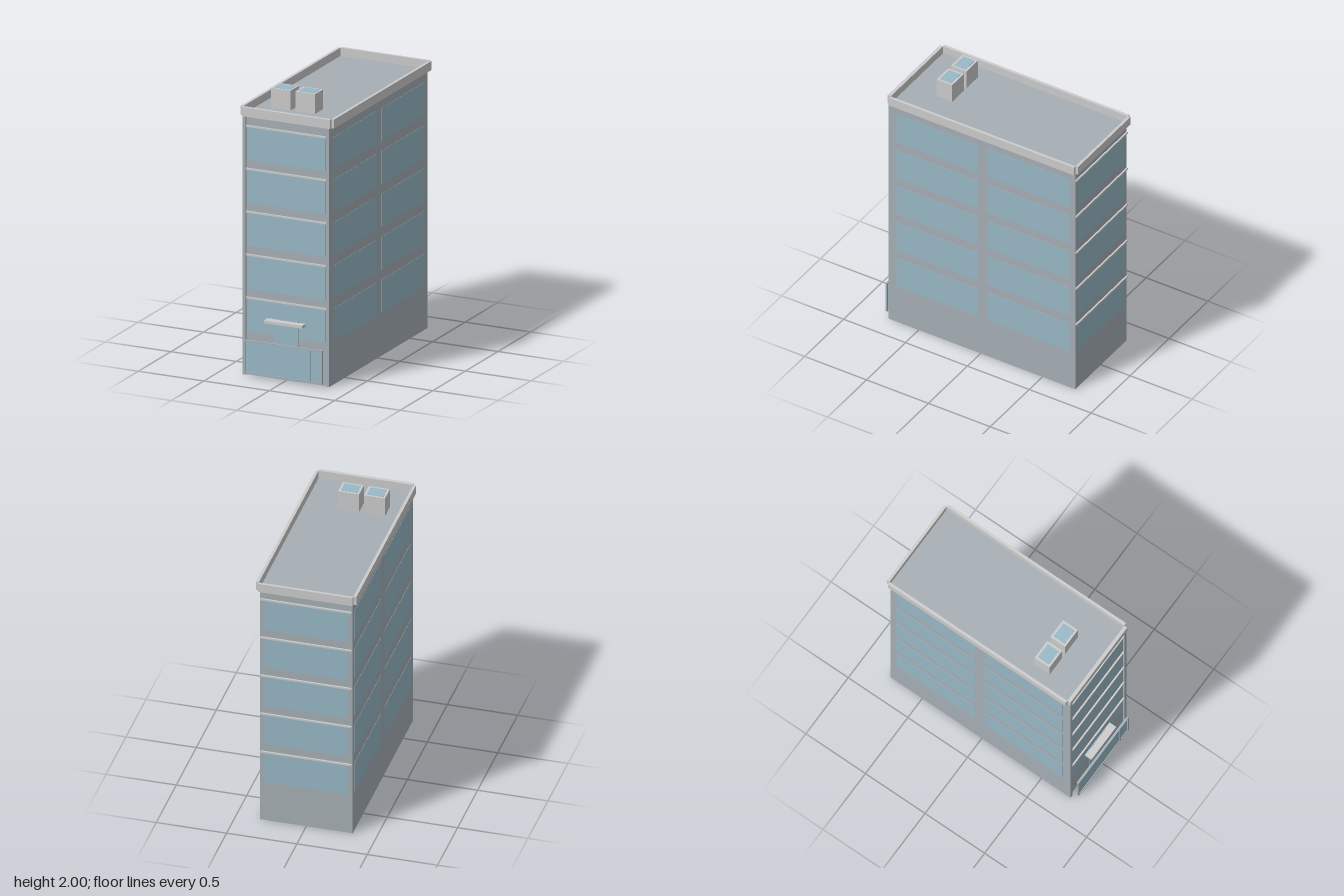
import * as THREE from 'three';

const trim = new THREE.MeshStandardMaterial({ color: 0xcccccc });
const wall = new THREE.MeshStandardMaterial({ color: 0xa6afb5 });
const glass = new THREE.MeshStandardMaterial({ color: 0x98b8c6 });

// Box given by its lower and upper limits on each axis
function box(parent, name, material, [x0, x1], [y0, y1], [z0, z1]) {
  const mesh = new THREE.Mesh(new THREE.BoxGeometry(x1 - x0, y1 - y0, z1 - z0), material);
  mesh.position.set((x0 + x1) / 2, (y0 + y1) / 2, (z0 + z1) / 2);
  mesh.name = name;
  parent.add(mesh);
}

function group(parent, name) {
  const g = new THREE.Group();
  g.name = name;
  parent.add(g);
  return g;
}

export function createModel() {
  const model = new THREE.Group();
  model.name = 'officeBuilding';

  // Main block and roof deck
  box(model, 'walls', wall, [-0.33, 0.33], [0, 1.85], [-0.765, 0.73]);
  box(model, 'roofDeck', wall, [-0.338, 0.338], [1.848, 1.856], [-0.77, 0.722]);

  // Corner strips framing the front
  for (const s of [-1, 1]) {
    const xs = [s * 0.308, s * 0.33].sort((a, b) => a - b);
    box(model, 'cornerStrip', wall, xs, [0, 1.85], [0.73, 0.745]);
  }

  // Five storeys of windows on all four sides, with ledges at front and back
  const windows = group(model, 'windows');
  const ledges = group(model, 'ledges');
  for (let i = 0; i < 5; i++) {
    const y = 0.31 + i * 0.3075;
    const span = [y, y + 0.235];
    box(windows, 'frontWindow', glass, [-0.297, 0.297], span, [0.728, 0.733]);
    box(windows, 'backWindow', glass, [-0.297, 0.297], span, [-0.768, -0.763]);
    for (const x of [-0.33, 0.33]) {
      for (const z of [[0.025, 0.68], [-0.715, -0.06]]) {
        box(windows, 'sideWindow', glass, [x - 0.002, x + 0.002], span, z);
      }
    }
    const top = [y + 0.236, y + 0.248];
    box(ledges, 'frontLedge', trim, [-0.308, 0.308], top, [0.73, 0.742]);
    box(ledges, 'backLedge', trim, [-0.325, 0.325], top, [-0.777, -0.765]);
  }

  // Parapet of four slabs, notched at the corners
  const parapet = group(model, 'parapet');
  const rim = [1.85, 1.915];
  box(parapet, 'frontParapet', trim, [-0.336, 0.336], rim, [0.722, 0.747]);
  box(parapet, 'backParapet', trim, [-0.336, 0.336], rim, [-0.79, -0.77]);
  box(parapet, 'leftParapet', trim, [0.336, 0.357], rim, [-0.77, 0.722]);
  box(parapet, 'rightParapet', trim, [-0.357, -0.336], rim, [-0.77, 0.722]);

  // Rooftop units with a tinted inset on top
  for (const x of [-0.235, -0.05]) {
    const unit = group(model, 'rooftopUnit');
    box(unit, 'unitBody', trim, [x, x + 0.15], [1.85, 1.998], [0.375, 0.5]);
    box(unit, 'unitTop', glass, [x + 0.016, x + 0.134], [1.99, 2], [0.391, 0.484]);
  }

  // Entrance door and canopy
  box(model, 'door', glass, [-0.095, 0.09], [0, 0.43], [0.73, 0.738]);
  box(model, 'canopy', trim, [-0.145, 0.145], [0.405, 0.425], [0.73, 0.79]);

  // Framed glazed screen standing in front of the entrance
  const screen = group(model, 'entranceScreen');
  box(screen, 'screenGlass', glass, [-0.29, 0.29], [0.03, 0.26], [0.769, 0.781]);
  for (const x of [[-0.297, -0.286], [0.196, 0.205], [0.286, 0.297]]) {
    box(screen, 'screenPost', wall, x, [0.025, 0.265], [0.775, 0.787]);
  }
  for (const y of [[0.025, 0.035], [0.255, 0.265]]) {
    box(screen, 'screenRail', wall, [-0.286, 0.286], y, [0.775, 0.787]);
  }

  return model;
}
